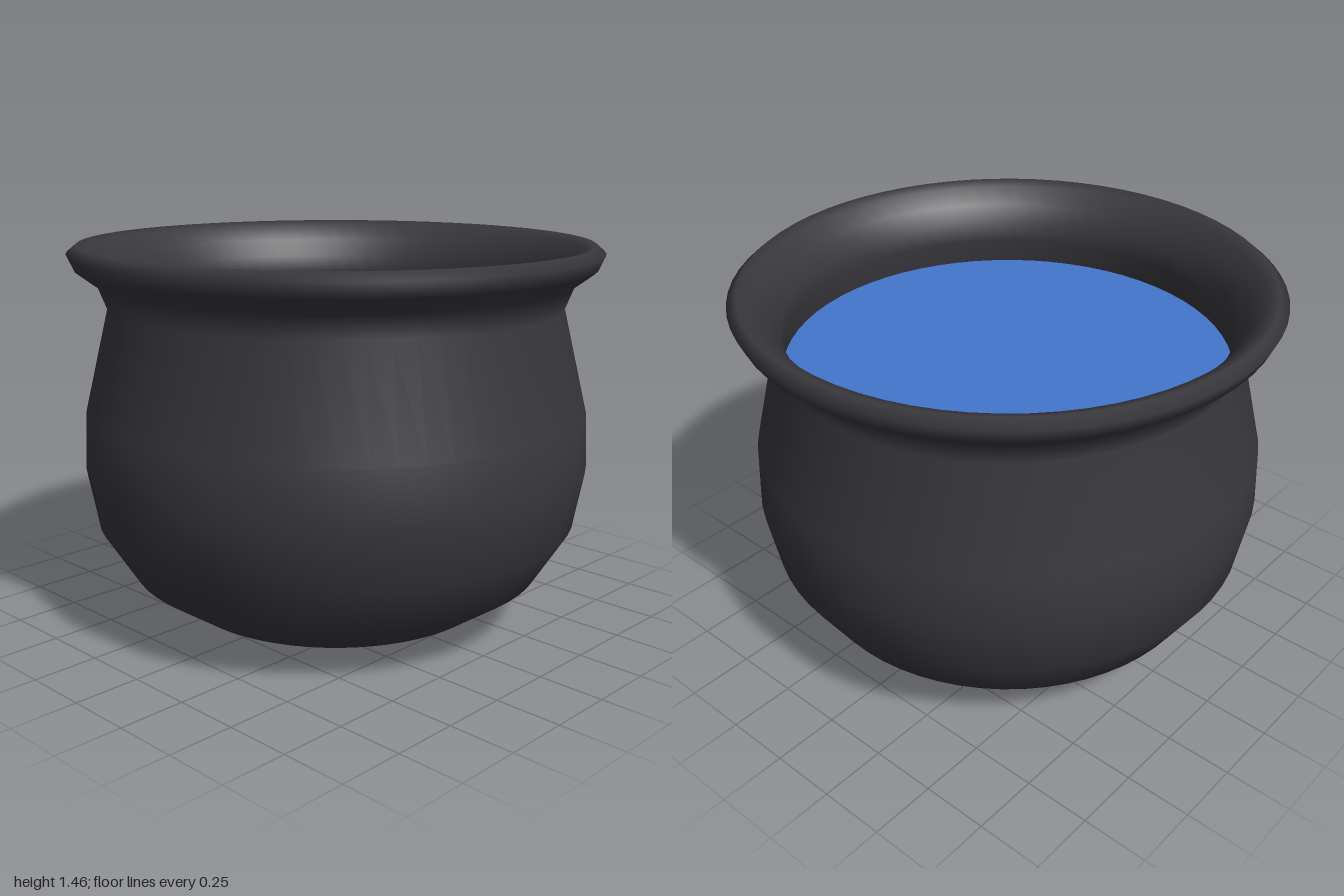
import * as THREE from 'three';

export function createModel() {
  const model = new THREE.Group();
  model.name = 'cauldron';

  const iron = new THREE.MeshStandardMaterial({ color: 0x38383d });
  iron.name = 'dark iron';
  const water = new THREE.MeshStandardMaterial({ color: 0x4376cd });
  water.name = 'blue water';

  // Pot: outer wall from the base up, over the flared lip, then down the inner wall
  const profile = [
    [0, 0], [0.34, 0.01], [0.61, 0.07], [0.80, 0.20], [0.925, 0.40],
    [0.965, 0.62], [0.955, 0.83], [0.86, 1.22], [0.895, 1.31],
    [0.975, 1.37], [1, 1.425], [0.965, 1.455], [0.92, 1.44],
    [0.865, 1.38], [0.825, 1.31], [0.815, 1.24], [0.835, 1.12], [0.85, 1.05],
  ].map(([r, y]) => new THREE.Vector2(r, y));
  const pot = new THREE.Mesh(new THREE.LatheGeometry(profile, 64), iron);
  pot.name = 'pot';
  model.add(pot);

  // Water: flat disc meeting the inner wall
  const surface = new THREE.Mesh(new THREE.CircleGeometry(0.833, 64), water);
  surface.name = 'waterSurface';
  surface.rotation.x = -Math.PI / 2;
  surface.position.y = 1.14;
  model.add(surface);

  return model;
}
